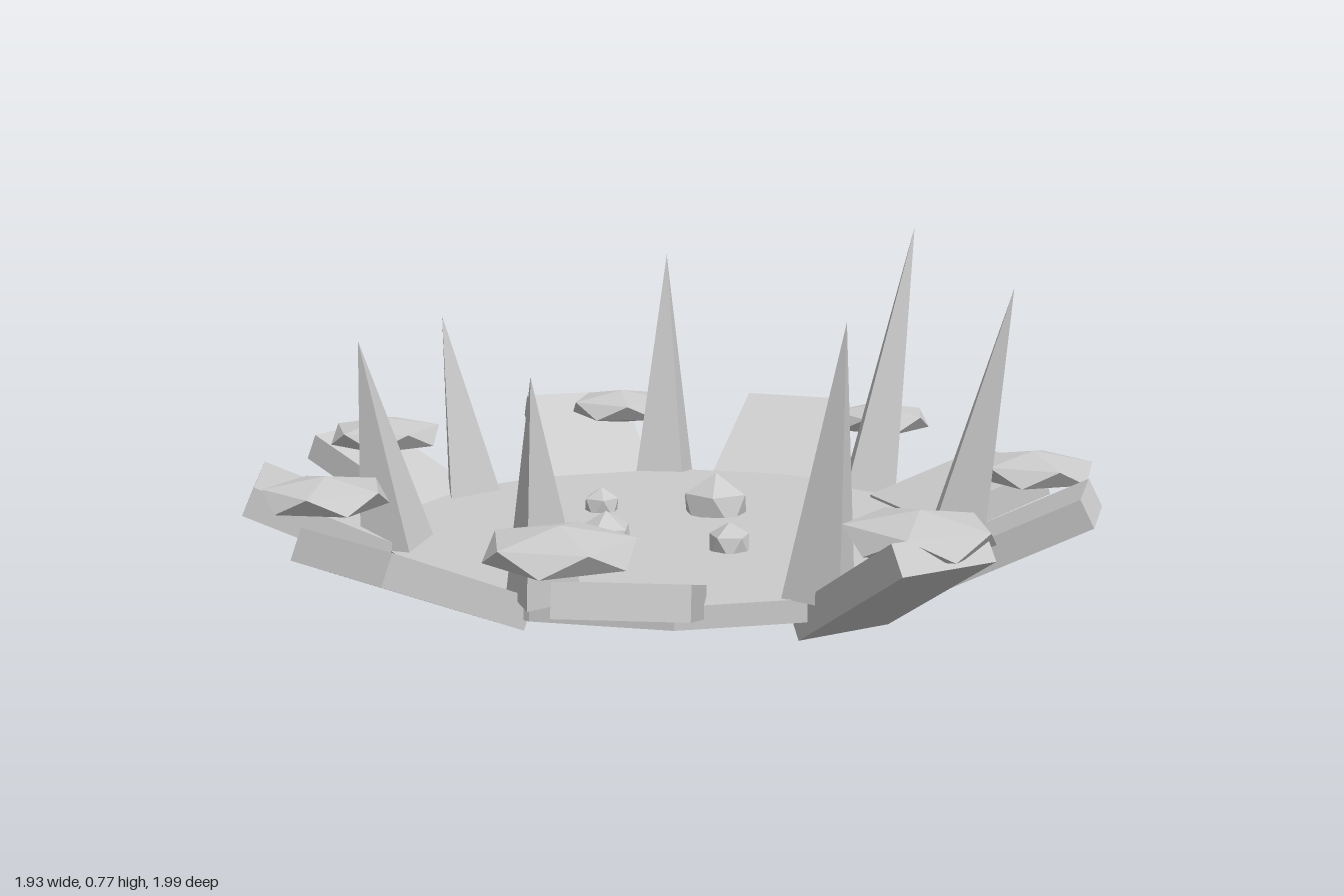
import * as THREE from 'three';

const material = new THREE.MeshStandardMaterial({ color: 0xcccccc, flatShading: true });

function addMesh(parent, name, geometry, x = 0, y = 0, z = 0) {
  const mesh = new THREE.Mesh(geometry, material);
  mesh.name = name;
  mesh.position.set(x, y, z);
  parent.add(mesh);
  return mesh;
}

// Icosahedron standing on one of its corners
function gem(radius) {
  return new THREE.IcosahedronGeometry(radius, 0).rotateZ(Math.atan(0.618034));
}

// Slab that slopes up and outward; x, y, z is the middle of its lower outer edge
function addPlate(parent, [x, y, z, angle, tilt, width, length]) {
  const thickness = 0.07;
  const geometry = new THREE.BoxGeometry(length, thickness, width);
  geometry.translate(-length / 2, thickness / 2, 0);
  geometry.rotateZ(THREE.MathUtils.degToRad(tilt));
  geometry.rotateY(-THREE.MathUtils.degToRad(angle));
  addMesh(parent, 'rimPlate', geometry, x, y, z);
}

// Four-sided spike leaning from its base to its tip
function addSpike(parent, [bx, bz, tx, ty, tz, turn]) {
  const base = new THREE.Vector3(bx, 0.1, bz);
  const axis = new THREE.Vector3(tx, ty, tz).sub(base);
  const height = axis.length();
  const geometry = new THREE.ConeGeometry(0.088, height, 4);
  geometry.rotateY(turn).translate(0, height / 2, 0);
  const spike = addMesh(parent, 'spike', geometry, bx, 0.1, bz);
  spike.quaternion.setFromUnitVectors(new THREE.Vector3(0, 1, 0), axis.normalize());
}

export function createModel() {
  const model = new THREE.Group();
  model.name = 'spikedDisc';

  // Thin round floor
  addMesh(model, 'floorDisc', new THREE.CylinderGeometry(0.69, 0.69, 0.05, 14), 0.03, 0.075, 0);

  // Ring of raised plates: x, y, z, angle, tilt, width, length
  [
    [0.96, 0.14, 0.085, 4, 17, 0.29, 0.34],
    [0.765, 0.19, 0.655, 42, 27, 0.23, 0.38],
    [0.155, 0.215, 0.98, 84, 32, 0.235, 0.4],
    [-0.495, 0.16, 0.855, 121, 15, 0.265, 0.41],
    [-0.91, 0.19, 0.4, 160, 24, 0.3, 0.4],
    [-0.905, 0.19, -0.32, 199, 24, 0.295, 0.42],
    [-0.53, 0.18, -0.865, 237, 24, 0.24, 0.42],
    [0.185, 0.21, -0.975, 279, 30, 0.275, 0.4],
    [0.765, 0.2, -0.7, 316, 28, 0.275, 0.4],
  ].forEach((p) => addPlate(model, p));

  // Leaning spikes: base x, z, tip x, y, z, turn
  [
    [0.045, 0.66, 0.05, 0.68, 0.75, 0],
    [0.56, 0.4, 0.645, 0.69, 0.48, 0.2],
    [0.67, -0.16, 0.81, 0.77, -0.19, 0.3],
    [0.3, -0.61, 0.345, 0.675, -0.69, 0.1],
    [-0.26, -0.57, -0.31, 0.55, -0.65, 0.5],
    [-0.61, -0.13, -0.69, 0.575, -0.13, 0],
    [-0.47, 0.42, -0.52, 0.57, 0.48, 0.75],
  ].forEach((s) => addSpike(model, s));

  // Flattened crystals round the rim: x, z, radius
  [
    [0.26, -0.8, 0.14],
    [0.8, -0.32, 0.13],
    [0.77, 0.4, 0.14],
    [0.18, 0.83, 0.16],
    [-0.525, 0.635, 0.155],
    [-0.8, -0.035, 0.14],
    [-0.46, -0.675, 0.14],
  ].forEach(([x, z, r], i) => {
    const geometry = gem(r * 1.1).rotateY(i * 0.7).scale(1, 0.29, 1);
    addMesh(model, 'flatCrystal', geometry, x, 0.25, z);
  });

  // Small stones set in the floor: x, z, radius
  [
    [-0.045, -0.25, 0.047],
    [0.2, -0.11, 0.087],
    [-0.175, 0.07, 0.067],
    [0.055, 0.24, 0.053],
  ].forEach(([x, z, r], i) => {
    addMesh(model, 'floorStone', gem(r).rotateY(i), x, 0.11, z);
  });

  return model;
}
